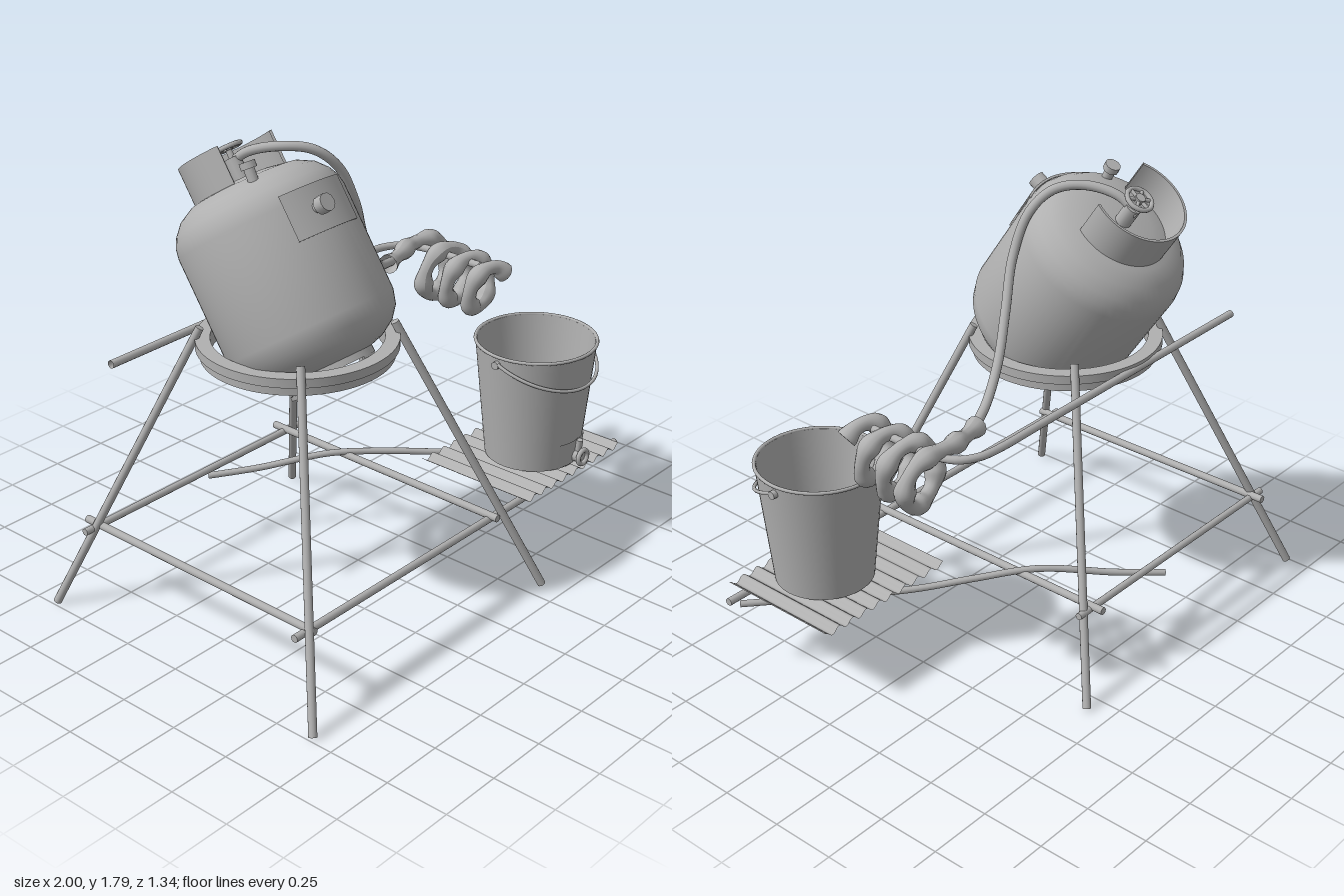
import * as THREE from 'three';
import { toCreasedNormals } from 'three/addons/utils/BufferGeometryUtils.js';

const V = (x, y, z) => new THREE.Vector3(x, y, z);
const V2 = (x, y) => new THREE.Vector2(x, y);
const rad = THREE.MathUtils.degToRad;

export function createModel() {
  const metal = new THREE.MeshStandardMaterial({ color: 0xb0b0b0, side: THREE.DoubleSide });
  metal.name = 'grey metal';
  const model = new THREE.Group();

  const add = (name, geo, parent = model) => {
    const m = new THREE.Mesh(geo, metal);
    m.name = name;
    parent.add(m);
    return m;
  };
  // straight round bar between two points
  const bar = (name, a, b, r, parent = model) => {
    const d = b.clone().sub(a);
    const m = add(name, new THREE.CylinderGeometry(r, r, d.length(), 12), parent);
    m.position.copy(a).addScaledVector(d, 0.5);
    m.quaternion.setFromUnitVectors(V(0, 1, 0), d.normalize());
    return m;
  };
  const tube = (name, pts, r, n = 60) =>
    add(name, new THREE.TubeGeometry(new THREE.CatmullRomCurve3(pts), n, r, 12));
  // turned part, optionally covering only an arc (degrees)
  const turned = (name, pts, parent, from = 0, sweep = 360, seg = 48) =>
    add(name, toCreasedNormals(new THREE.LatheGeometry(
      pts.map(p => V2(p[0], p[1])), seg, rad(from), rad(sweep)), 0.6), parent);
  const band = (r0, r1, y0, y1) => [[r1, y0], [r1, y1], [r0, y1], [r0, y0], [r1, y0]];

  // ---- tilted tank, local y is its axis ----
  const tank = new THREE.Group();
  tank.name = 'tank';
  tank.position.set(-0.33, 0.386, 0.572);
  tank.rotation.x = rad(-34);
  model.add(tank);
  turned('tankBody', [[0, 0.74], [0.14, 0.75], [0.22, 0.775], [0.275, 0.81], [0.31, 0.855],
    [0.325, 0.91], [0.325, 1.32], [0.318, 1.36], [0.3, 1.395], [0.265, 1.435], [0.21, 1.465],
    [0.12, 1.482], [0, 1.487]], tank, 0, 360, 64);
  turned('collar', band(0.182, 0.192, 1.435, 1.612), tank, 75, 234);
  // foot ring with slots
  turned('footRingEdge', band(0.155, 0.172, 0.695, 0.71), tank);
  turned('footRingTop', band(0.155, 0.172, 0.735, 0.785), tank);
  for (let i = 0; i < 3; i++)
    turned('footRingWeb', band(0.16, 0.17, 0.708, 0.737), tank, 5 + i * 120, 90, 20);
  // label plate and its knob
  turned('labelPlate', band(0.322, 0.331, 1.185, 1.355), tank, -27, 54, 16);
  const kx = -0.035;
  bar('knobStem', V(kx, 1.27, 0.31), V(kx, 1.27, 0.35), 0.022, tank);
  bar('knob', V(kx, 1.27, 0.345), V(kx, 1.27, 0.385), 0.033, tank);
  // relief fitting on the shoulder
  bar('reliefStem', V(-0.13, 1.42, 0.19), V(-0.13, 1.5, 0.2), 0.02, tank);
  bar('reliefCap', V(-0.13, 1.49, 0.2), V(-0.13, 1.515, 0.203), 0.03, tank);
  // main valve and hand wheel
  bar('valveBody', V(0, 1.47, 0), V(0, 1.57, 0), 0.032, tank);
  bar('valveStem', V(0, 1.56, 0), V(0, 1.615, 0), 0.012, tank);
  const wheel = add('handWheel', new THREE.TorusGeometry(0.05, 0.009, 8, 32), tank);
  wheel.position.y = 1.61;
  wheel.rotation.x = Math.PI / 2;
  bar('wheelHub', V(0, 1.6, 0), V(0, 1.622, 0), 0.019, tank);
  for (let i = 0; i < 6; i++) {
    const a = i * Math.PI / 3;
    bar('wheelSpoke', V(0, 1.61, 0), V(0.05 * Math.sin(a), 1.61, 0.05 * Math.cos(a)), 0.007, tank);
  }

  // ---- support ring and stand ----
  const ring = new THREE.Group();
  ring.name = 'supportRing';
  ring.position.x = -0.33;
  model.add(ring);
  turned('upperHoop', band(0.315, 0.37, 1.055, 1.09), ring, 0, 360, 64);
  turned('lowerHoop', band(0.315, 0.355, 1.02, 1.055), ring, 0, 360, 64);
  for (const sx of [-1, 1]) for (const sz of [-1, 1])
    bar('leg', V(-0.33 + sx * 0.655, 0.005, sz * 0.655), V(-0.33 + sx * 0.25, 1.13, sz * 0.245), 0.016);
  bar('frontBar', V(-0.915, 0.305, 0.51), V(1, 0.305, 0.51), 0.015);
  bar('backBar', V(-0.92, 0.32, -0.545), V(0.245, 0.32, -0.545), 0.014);
  for (const x of [-0.855, 0.17])
    bar('sideBar', V(x, 0.32, 0.55), V(x, 0.33, -0.6), 0.015);
  tube('diagonalRod', [V(-0.25, 0.275, -0.57), V(-0.1, 0.295, -0.44), V(0.12, 0.34, -0.25),
    V(0.32, 0.325, -0.09), V(0.5, 0.303, 0.06), V(0.98, 0.305, 0.47)], 0.013);

  // ---- bent pole carrying the coil ----
  tube('pole', [V(-0.905, 1.063, -0.362), V(-0.4, 1.063, -0.362), V(0.2, 1.063, -0.362),
    V(0.48, 1.063, -0.362), V(0.56, 1.063, -0.35), V(0.625, 1.063, -0.31), V(0.655, 1.063, -0.24),
    V(0.66, 1.063, -0.1), V(0.66, 1.063, 0.06)], 0.015, 100);

  // ---- hose from valve to coil ----
  tube('hose', [V(-0.33, 1.66, -0.32), V(-0.31, 1.72, -0.25), V(-0.25, 1.75, -0.14),
    V(-0.17, 1.735, -0.06), V(-0.09, 1.66, -0.015), V(-0.01, 1.51, -0.008), V(0.09, 1.35, -0.06),
    V(0.2, 1.21, -0.12), V(0.32, 1.11, -0.17), V(0.45, 1.07, -0.22)], 0.018, 90);

  // lumpy wrapped coil: a helix whose tube radius swells and narrows
  const coilPts = [V(0.42, 1.07, -0.21), V(0.52, 1.075, -0.235), V(0.6, 1.085, -0.25)];
  const steps = 36;
  for (let i = 0; i <= steps; i++) {
    const t = i / steps, a = Math.PI / 2 - t * Math.PI * 6.3;
    const R = 0.108 - 0.02 * t;
    coilPts.push(V(0.69 - 0.03 * t + R * Math.cos(a), 0.978 + R * Math.sin(a), -0.245 + 0.37 * t));
  }
  const curve = new THREE.CatmullRomCurve3(coilPts);
  const n = 260, sides = 12;
  const coil = new THREE.TubeGeometry(curve, n, 0.031, sides);
  const pos = coil.attributes.position, p = V(0, 0, 0);
  for (let i = 0; i <= n; i++) {
    const c = curve.getPointAt(i / n);
    const k = 0.88 + 0.4 * Math.pow(Math.abs(Math.cos(i / n * Math.PI * 15)), 3);
    for (let j = 0; j <= sides; j++) {
      const q = i * (sides + 1) + j;
      p.fromBufferAttribute(pos, q).sub(c).multiplyScalar(k).add(c);
      pos.setXYZ(q, p.x, p.y, p.z);
    }
  }
  coil.computeVertexNormals();
  add('coil', coil);

  // ---- corrugated sheet ----
  const sheet = new THREE.PlaneGeometry(0.625, 0.51, 108, 1);
  sheet.rotateX(-Math.PI / 2);
  const sp = sheet.attributes.position;
  for (let i = 0; i < sp.count; i++)
    sp.setY(i, 0.011 * Math.cos((sp.getX(i) + 0.3125) / 0.625 * Math.PI * 18));
  sheet.computeVertexNormals();
  add('corrugatedSheet', sheet).position.set(0.6325, 0.331, 0.31);

  // ---- bucket ----
  const bucket = new THREE.Group();
  bucket.name = 'bucket';
  bucket.position.set(0.665, 0, 0.34);
  model.add(bucket);
  turned('bucketShell', [[0, 0.345], [0.188, 0.345], [0.237, 0.832], [0.23, 0.832], [0.182, 0.352], [0, 0.352]], bucket);
  const rim = add('bucketRim', new THREE.TorusGeometry(0.237, 0.007, 8, 48), bucket);
  rim.position.y = 0.833;
  rim.rotation.x = Math.PI / 2;
  const handle = [];
  for (let i = 0; i <= 16; i++) {
    const a = i / 16 * Math.PI, s = Math.sin(a);
    handle.push(V(-0.246 * Math.cos(a), 0.81 - 0.11 * s, -0.01 + 0.25 * s));
  }
  add('bucketHandle', new THREE.TubeGeometry(new THREE.CatmullRomCurve3(handle), 48, 0.007, 8), bucket);
  for (const s of [-1, 1])
    bar('handleEar', V(s * 0.228, 0.8, -0.01), V(s * 0.252, 0.8, -0.01), 0.016, bucket);
  // drain patch and spigot
  turned('drainPatch', [[0.192, 0.35], [0.204, 0.455]], bucket, -22, 56, 12);
  bar('spigot', V(0.025, 0.38, 0.17), V(0.025, 0.38, 0.225), 0.027, bucket);
  const nut = add('spigotNut', new THREE.TorusGeometry(0.029, 0.01, 8, 24), bucket);
  nut.position.set(0.025, 0.38, 0.228);
  bar('spigotLever', V(0.025, 0.4, 0.205), V(0.025, 0.45, 0.21), 0.014, bucket);

  return model;
}
